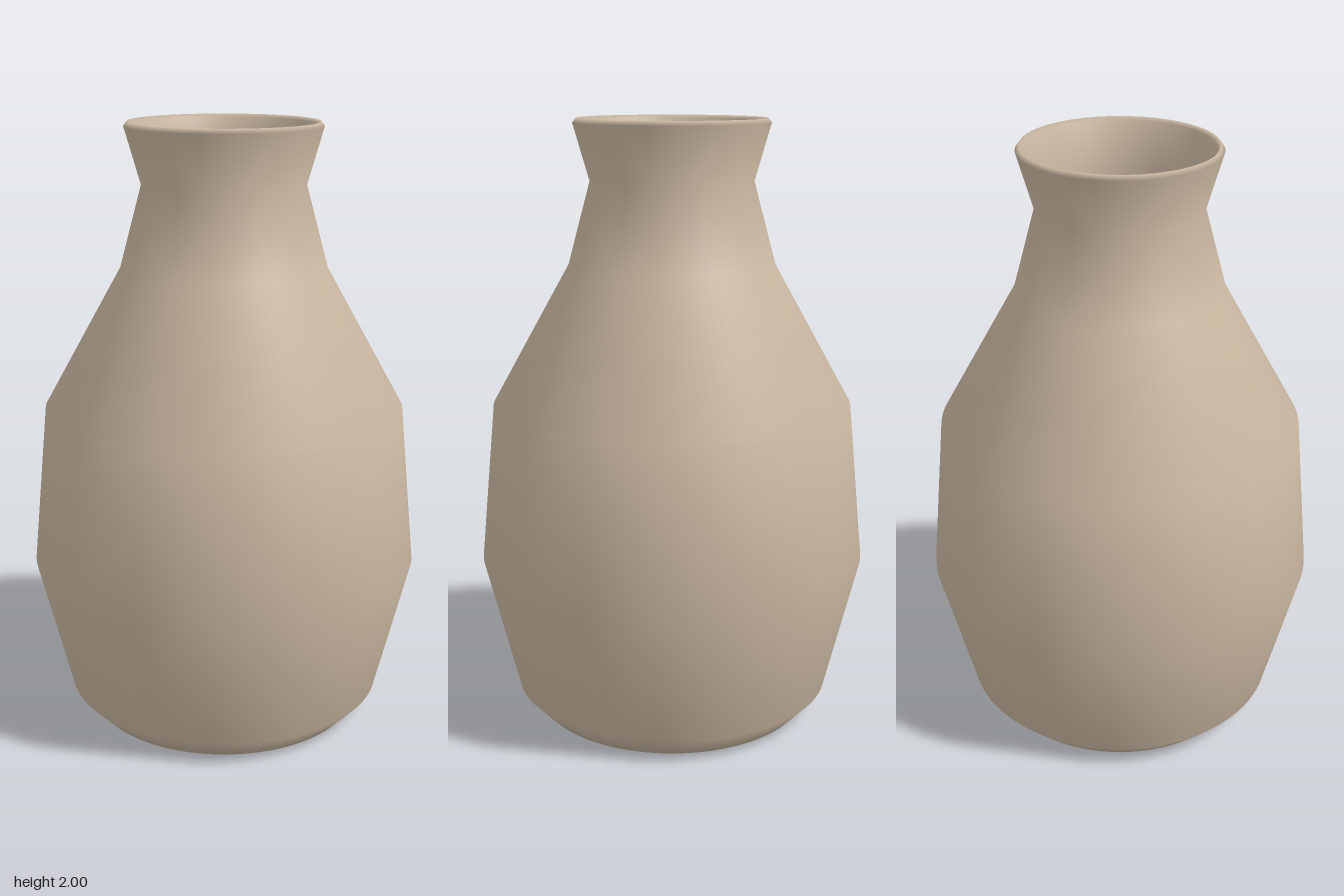
import * as THREE from 'three';

export function createModel() {
  const group = new THREE.Group();
  group.name = 'vase';

  // Closed wall profile (radius, height): base, outside, rim, then down the inside
  const profile = [
    // base and outer wall
    [0, 0], [0.46, 0], [0.535, 0.08], [0.648, 0.54], [0.597, 1.07],
    [0.34, 1.53], [0.267, 1.8], [0.32, 1.985],
    // rounded rim
    [0.309, 2], [0.297, 1.99],
    // inner wall and floor
    [0.231, 1.8], [0.303, 1.52], [0.558, 1.06], [0.608, 0.54],
    [0.5, 0.11], [0.44, 0.05], [0, 0.05],
  ].map(([r, y]) => new THREE.Vector2(r, y));

  const body = new THREE.Mesh(
    new THREE.LatheGeometry(profile, 96),
    new THREE.MeshStandardMaterial({ color: 0xcbb8a2 })
  );
  body.name = 'vaseBody';
  group.add(body);
  return group;
}
